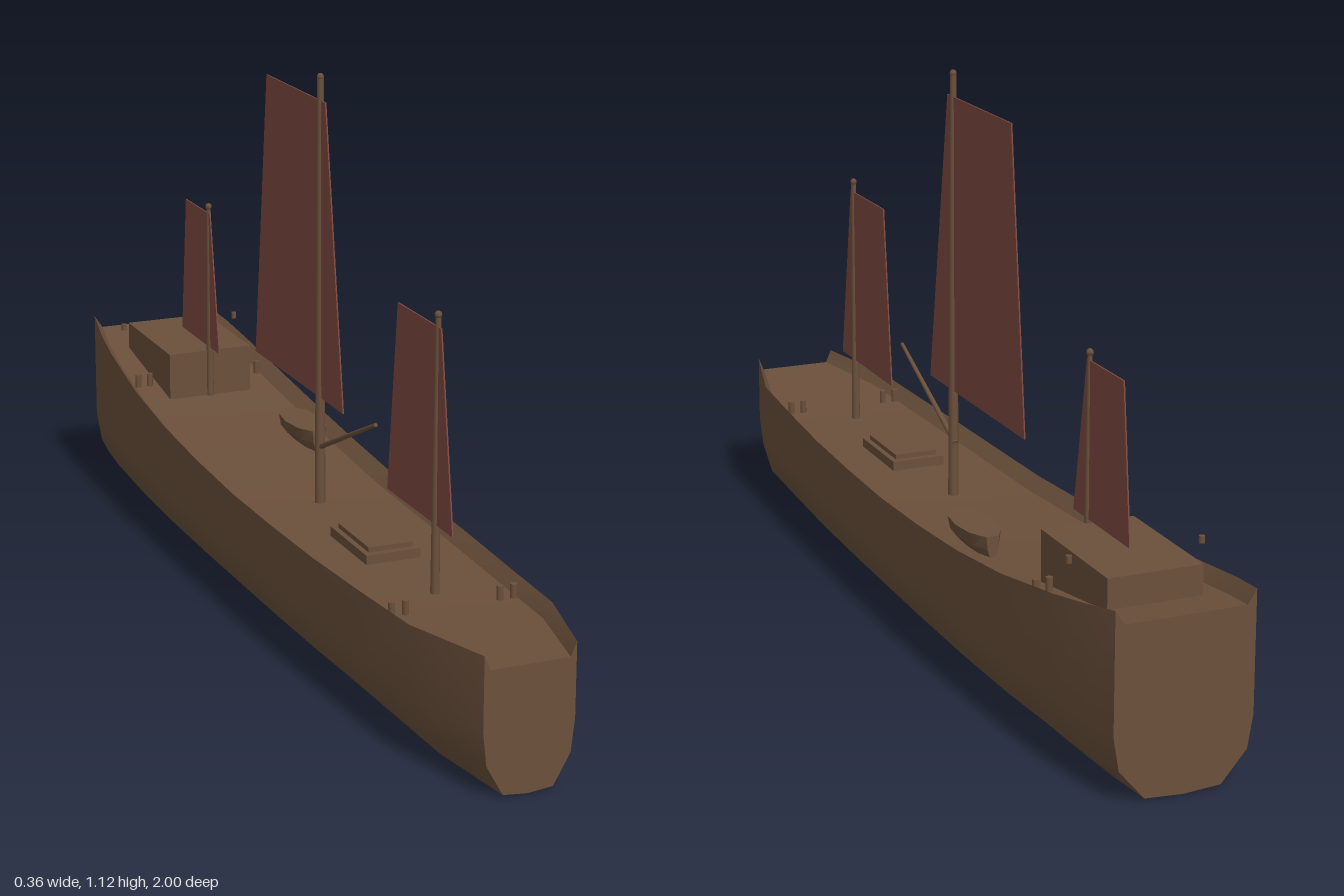
import * as THREE from 'three';
import { toCreasedNormals } from 'three/addons/utils/BufferGeometryUtils.js';

const wood = new THREE.MeshStandardMaterial({ color: 0x6b503b });
wood.name = 'brown wood';
const canvas = new THREE.MeshStandardMaterial({ color: 0x7e4a41, side: THREE.DoubleSide });
canvas.name = 'red sailcloth';

// Skin closed rings (listed from +z to -z, clockwise seen from +z) and cap both ends
function loft(rings, keel, crease) {
  const p = [];
  const n = rings[0].length;
  const tri = (a, b, c) => p.push(...a, ...b, ...c);
  for (let i = 0; i < rings.length - 1; i++) {
    for (let j = 0; j < n; j++) {
      const k = (j + 1) % n;
      tri(rings[i][j], rings[i][k], rings[i + 1][j]);
      tri(rings[i][k], rings[i + 1][k], rings[i + 1][j]);
    }
  }
  const first = rings[0], last = rings[rings.length - 1];
  for (let j = 0; j < n; j++) {
    const k = (j + 1) % n;
    if (j === keel || k === keel) continue;
    tri(first[keel], first[k], first[j]);
    tri(last[keel], last[j], last[k]);
  }
  const g = new THREE.BufferGeometry();
  g.setAttribute('position', new THREE.Float32BufferAttribute(p, 3));
  return toCreasedNormals(g, crease);
}

// Mirror a half section [x, y] (top to keel) into a full ring at z
function ring(half, z) {
  const right = half.map(([x, y]) => [x, y, z]);
  const left = half.slice(0, -1).reverse().map(([x, y]) => [-x, y, z]);
  return [...right, ...left];
}

// Hull stations: z, half width, rail height
const stations = [
  [1, 0.09, 0.275], [0.8, 0.143, 0.267], [0.6, 0.155, 0.262], [0.4, 0.166, 0.259],
  [0.2, 0.172, 0.258], [0, 0.176, 0.259], [-0.2, 0.179, 0.268], [-0.4, 0.18, 0.282],
  [-0.6, 0.176, 0.303], [-0.8, 0.165, 0.333], [-0.9, 0.155, 0.35], [-1, 0.138, 0.367],
];
const DECK_DROP = 0.028;

function deckY(z) {
  for (let i = 0; i < stations.length - 1; i++) {
    const [z0, , y0] = stations[i], [z1, , y1] = stations[i + 1];
    if (z <= z0 && z >= z1) return y0 + (y1 - y0) * (z0 - z) / (z0 - z1) - DECK_DROP;
  }
  return 0.25;
}

export function createModel() {
  const model = new THREE.Group();
  model.name = 'sailing barge';

  function add(name, geometry, x = 0, y = 0, z = 0, material = wood, parent = model) {
    const m = new THREE.Mesh(geometry, material);
    m.name = name;
    m.position.set(x, y, z);
    parent.add(m);
    return m;
  }

  // Hull with sunken deck and sloping bulwarks
  const hullRings = stations.map(([z, w, s]) => ring([
    [w * 0.87, s - DECK_DROP], [w, s], [w, 0.13], [w * 0.92, 0.065], [w * 0.55, 0.005], [0, 0],
  ], z));
  add('hull', loft(hullRings, 5, 0.76));

  // Stern cabin and fore hatch
  add('cabin', new THREE.BoxGeometry(0.19, 0.108, 0.28), 0, 0.324, -0.74);
  add('hatchCoaming', new THREE.BoxGeometry(0.114, 0.03, 0.18), 0, 0.235, 0.32);
  add('hatchCover', new THREE.BoxGeometry(0.092, 0.014, 0.15), 0, 0.253, 0.32);

  // Small boat stowed on deck
  const boatRings = [[0.09, 0.013], [0.055, 0.033], [0, 0.04], [-0.055, 0.033], [-0.09, 0.013]]
    .map(([z, w]) => ring([[w, 0.048], [w * 0.85, 0.022], [w * 0.4, 0.002], [0, 0]], z));
  add('rowboat', loft(boatRings, 3, 0.5), 0.1, 0.247, -0.3);

  // Masts with caps, each carrying a flat sail given as [z, y] corners
  const rigs = [
    ['fore', 0.6, 0.775, 0.009, [[0.675, 0.37], [0.38, 0.37], [0.422, 0.752], [0.615, 0.752]]],
    ['main', 0.04, 1.112, 0.011, [[0.16, 0.455], [-0.315, 0.455], [-0.245, 1.065], [0.067, 1.065]]],
    ['mizzen', -0.6, 0.707, 0.008, [[-0.54, 0.386], [-0.776, 0.386], [-0.742, 0.692], [-0.59, 0.692]]],
  ];
  for (const [name, z, top, r, corners] of rigs) {
    const rig = new THREE.Group();
    rig.name = name + 'Rig';
    model.add(rig);
    const base = deckY(z) - 0.01;
    add(name + 'Mast', new THREE.CylinderGeometry(r * 0.6, r, top - base, 10), 0, (top + base) / 2, z, wood, rig);
    add(name + 'MastCap', new THREE.SphereGeometry(0.0075, 8, 6), 0, top, z, wood, rig);
    const shape = new THREE.Shape(corners.map(([cz, cy]) => new THREE.Vector2(-cz, cy)));
    const sail = new THREE.ExtrudeGeometry(shape, { depth: 0.003, bevelEnabled: false });
    sail.translate(0, 0, -0.0015).rotateY(Math.PI / 2);
    add(name + 'Sail', sail, 0, 0, 0, canvas, rig);
  }

  // Cargo boom rising forward from the main mast
  const heel = new THREE.Vector3(0, 0.345, 0.03), tip = new THREE.Vector3(0, 0.48, 0.32);
  const along = tip.clone().sub(heel);
  const boom = add('cargoBoom', new THREE.CylinderGeometry(0.004, 0.006, along.length(), 8));
  boom.position.copy(heel).add(tip).multiplyScalar(0.5);
  boom.quaternion.setFromUnitVectors(new THREE.Vector3(0, 1, 0), along.normalize());

  // Paired mooring bollards and stern lanterns on both sides
  for (const side of [-1, 1]) {
    for (const [x, z] of [[0.096, 0.68], [0.124, 0.68], [0.115, -0.68], [0.142, -0.68]]) {
      add('bollard', new THREE.CylinderGeometry(0.007, 0.007, 0.032, 8), side * x, deckY(z) + 0.012, z);
    }
    add('sternLantern', new THREE.CylinderGeometry(0.006, 0.006, 0.014, 8), side * 0.133, 0.393, -0.8);
  }
  return model;
}
